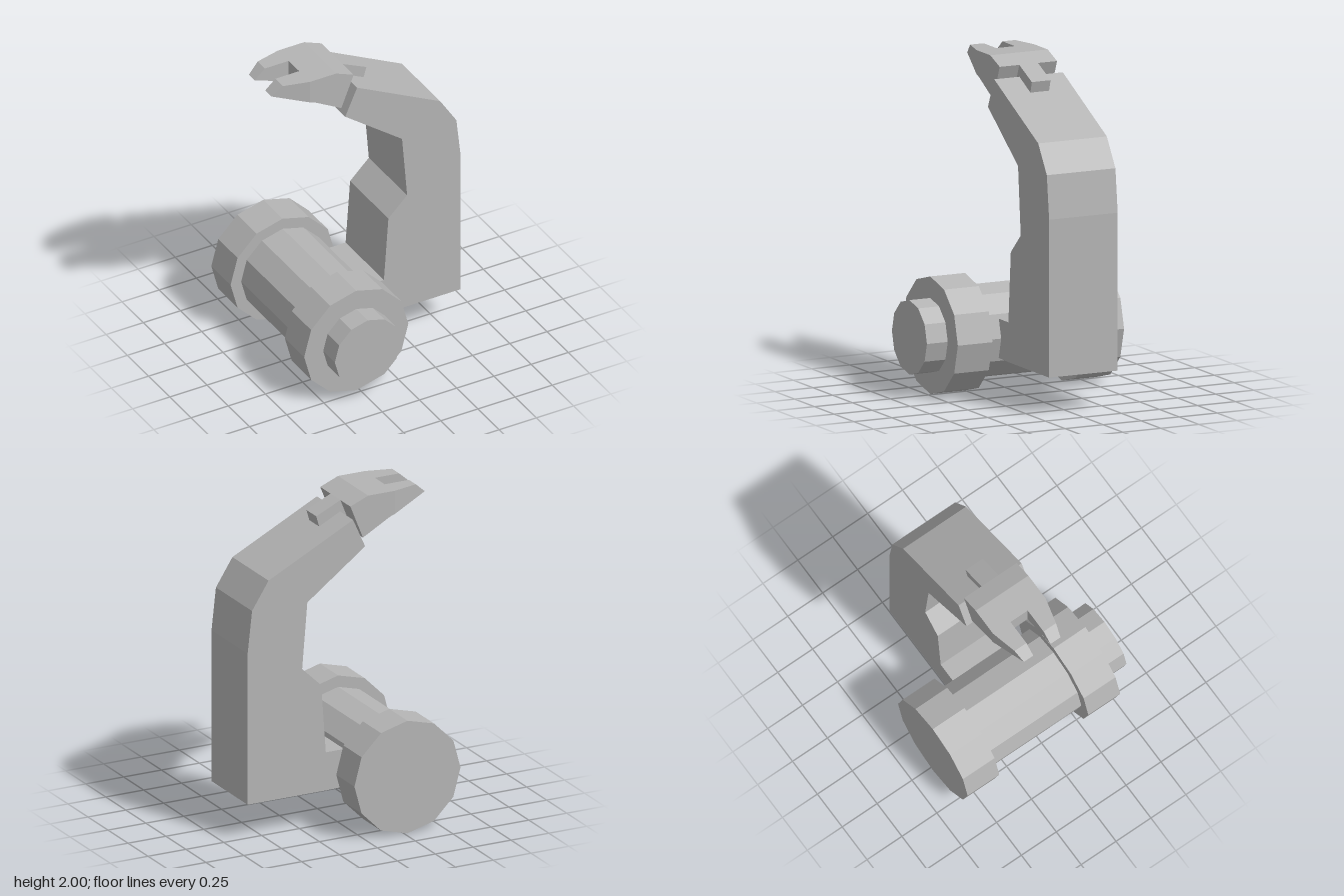
import * as THREE from 'three';

export function createModel() {
  const model = new THREE.Group();
  model.name = 'clampArm';
  const grey = new THREE.MeshStandardMaterial({ color: 0xb4b4b4, flatShading: true });
  grey.name = 'plain grey';

  const add = (name, geometry, parent = model) => {
    const mesh = new THREE.Mesh(geometry, grey);
    mesh.name = name;
    parent.add(mesh);
    return mesh;
  };

  // side profile in x, y extruded between two z positions
  const slab = (points, z0, z1) => {
    const shape = new THREE.Shape(points.map(([x, y]) => new THREE.Vector2(x, y)));
    return new THREE.ExtrudeGeometry(shape, { depth: z1 - z0, bevelEnabled: false }).translate(0, 0, z0);
  };

  // twelve-sided roller lying along z
  const roller = new THREE.Group();
  roller.name = 'roller';
  roller.position.set(-0.27, 0.354, 0);
  model.add(roller);
  for (const [name, radius, z0, z1] of [
    ['rollerShaft', 0.279, -0.39, 0.25],
    ['frontCollar', 0.35, 0.25, 0.478],
    ['backCollar', 0.35, -0.615, -0.388],
    ['frontCap', 0.222, 0.478, 0.615],
  ]) {
    const geometry = new THREE.CylinderGeometry(radius, radius, z1 - z0, 12);
    add(name, geometry.rotateX(Math.PI / 2).translate(0, 0, (z0 + z1) / 2), roller);
  }

  // bent arm with a foot reaching into the roller
  add('arm', slab([
    [-0.06, 0.235], [0.09, 0.23], [0.616, 0.23], [0.616, 1.17], [0.587, 1.43], [0.478, 1.6],
    [-0.08, 1.882], [-0.16, 1.704], [0.222, 1.42], [0.256, 1.012],
    [0.13, 0.89], [0.1, 0.467], [-0.06, 0.467],
  ], -0.295, 0.156));

  // claw at the tip of the arm
  const claw = new THREE.Group();
  claw.name = 'claw';
  model.add(claw);
  const slotBack = -0.133, slotFront = -0.01;
  add('clawPalm', slab([
    [-0.375, 2], [-0.375, 1.855], [-0.345, 1.845], [-0.165, 1.745], [-0.082, 1.952], [-0.2, 2],
  ], -0.258, 0.119), claw);

  // tongue overlapping the top of the arm
  add('clawTongue', slab([
    [-0.082, 1.952], [-0.165, 1.745], [-0.12, 1.73], [0.03, 1.78], [0.058, 1.811], [0.077, 1.878],
  ], slotBack, slotFront), claw);

  // two prongs, outer sides tapering toward the tip
  for (const [name, z0, z1, outer, inward] of [
    ['frontProng', slotFront, 0.119, 0.119, -1],
    ['backProng', -0.258, slotBack, -0.258, 1],
  ]) {
    const geometry = slab([[-0.375, 2], [-0.535, 2], [-0.604, 1.94], [-0.375, 1.855]], z0, z1);
    const p = geometry.attributes.position;
    for (let i = 0; i < p.count; i++) {
      if (Math.abs(p.getZ(i) - outer) < 1e-4) p.setZ(i, outer + inward * (-0.375 - p.getX(i)) * 0.25);
    }
    geometry.computeVertexNormals();
    add(name, geometry, claw);
  }

  return model;
}
